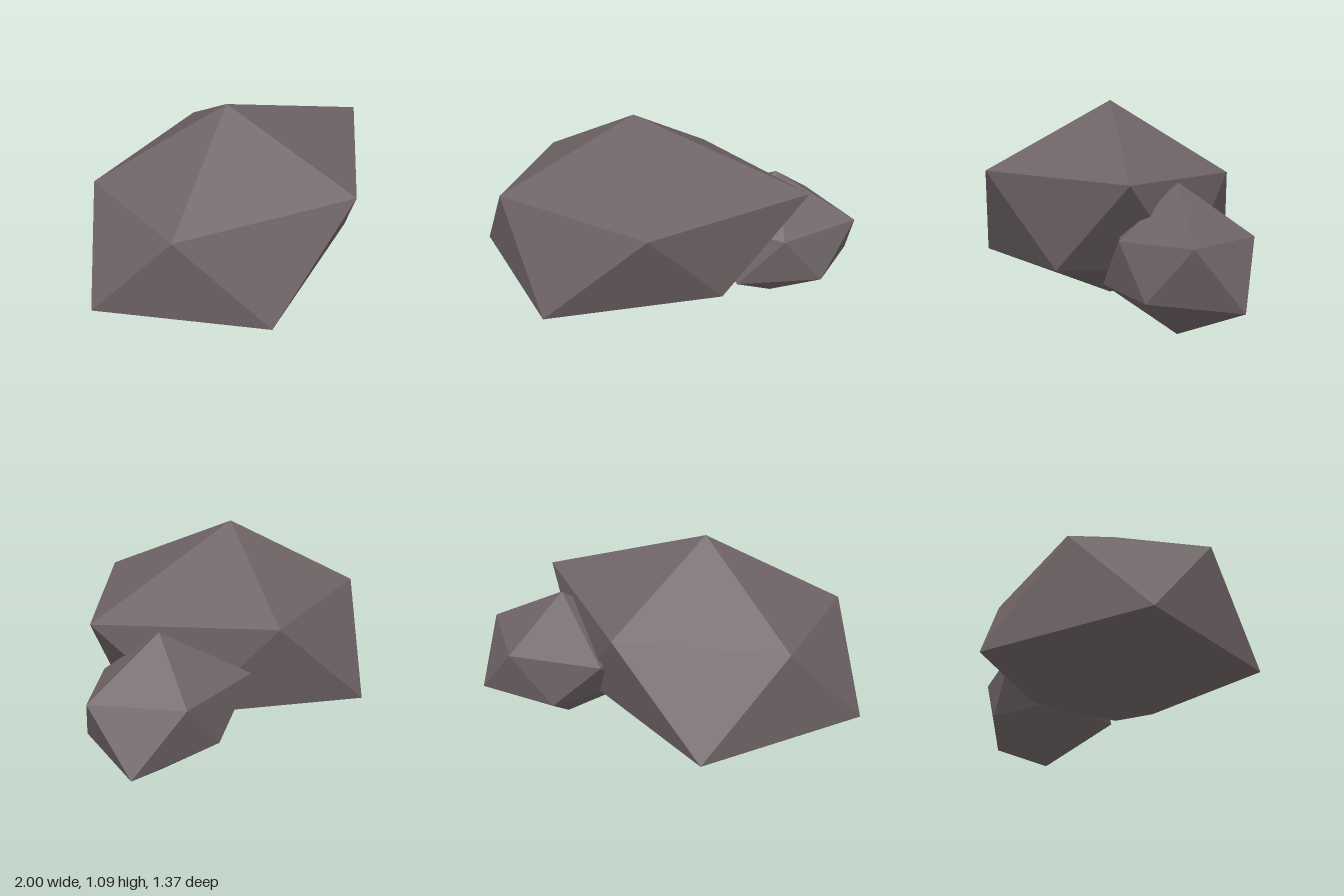
import * as THREE from 'three';

const stone = new THREE.MeshStandardMaterial({ color: 0x6e6366, flatShading: true });
stone.name = 'dark warm grey stone';

// Boulder: a top point, two staggered five-point rings and a bottom point
function boulder(name, top, upper, lower, bottom) {
  const pos = [];
  const face = (...corners) => corners.forEach((c) => pos.push(...c));
  for (let i = 0; i < 5; i++) {
    const j = (i + 1) % 5;
    face(top, upper[j], upper[i]);
    face(upper[i], upper[j], lower[i]);
    face(lower[i], upper[j], lower[j]);
    face(lower[i], lower[j], bottom);
  }
  const geo = new THREE.BufferGeometry();
  geo.setAttribute('position', new THREE.Float32BufferAttribute(pos, 3));
  geo.computeVertexNormals();
  const mesh = new THREE.Mesh(geo, stone);
  mesh.name = name;
  return mesh;
}

export function createModel() {
  const group = new THREE.Group();
  group.name = 'rocks';

  // Main rock
  group.add(boulder('largeRock',
    [-0.135, 1.085, 0.01],
    [[0.78, 0.76, 0.01], [0.13, 0.75, 0.67], [-0.745, 0.71, 0.355], [-0.72, 0.71, -0.33], [0.1, 0.72, -0.58]],
    [[0.42, 0.29, 0.33], [-0.41, 0.23, 0.68], [-1, 0.24, 0.01], [-0.42, 0.22, -0.69], [0.43, 0.285, -0.31]],
    [-0.135, 0.03, 0.01]));

  // Smaller rock leaning into its side
  group.add(boulder('smallRock',
    [0.57, 0.74, -0.245],
    [[1, 0.51, -0.245], [0.68, 0.485, 0.05], [0.23, 0.5, -0.03], [0.21, 0.5, -0.5], [0.695, 0.5, -0.585]],
    [[0.87, 0.235, -0.05], [0.45, 0.225, 0.1], [0.22, 0.245, -0.245], [0.47, 0.24, -0.555], [0.95, 0.2, -0.49]],
    [0.575, 0, -0.245]));

  return group;
}
